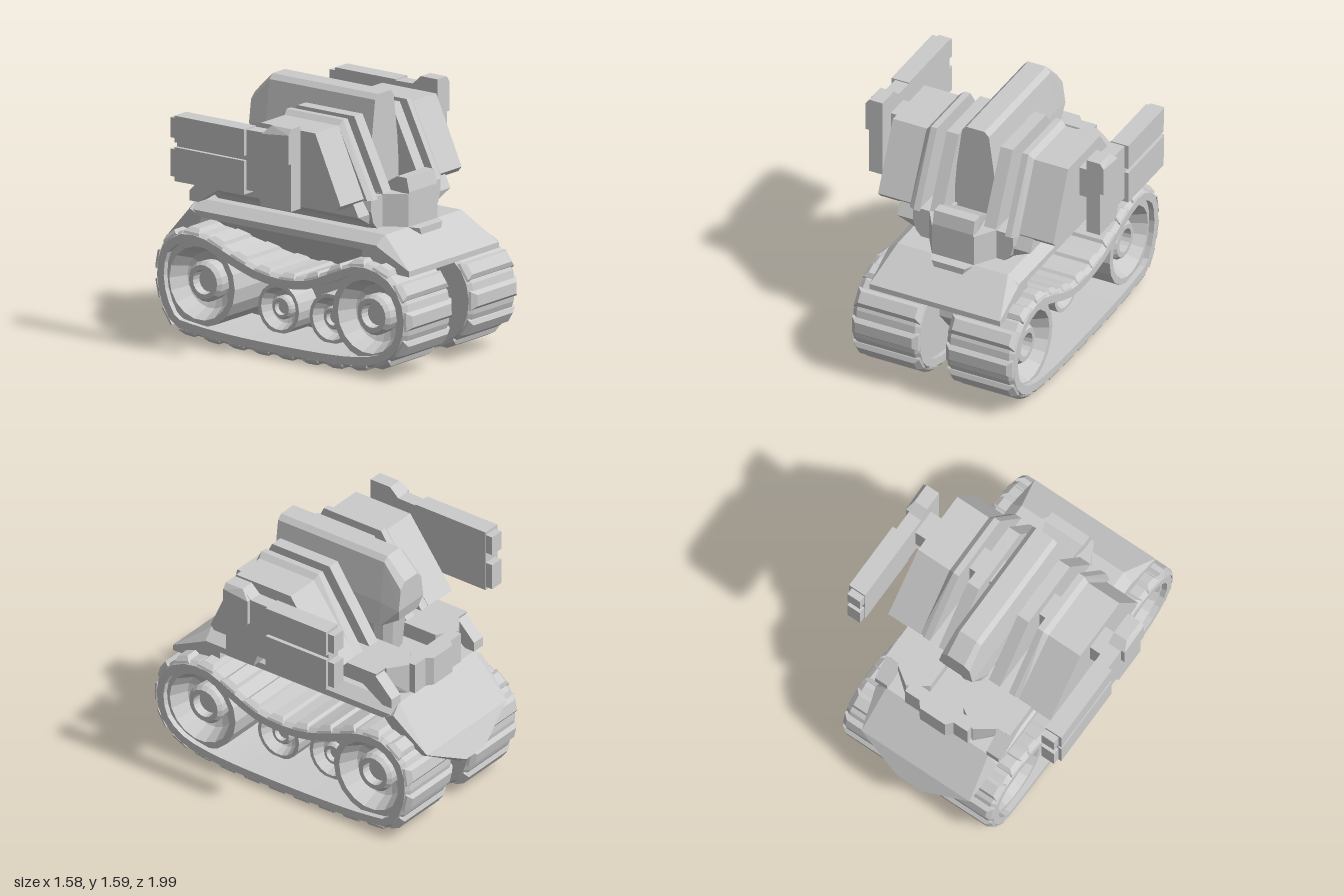
import * as THREE from 'three';
import { ConvexGeometry } from 'three/addons/geometries/ConvexGeometry.js';

const grey = new THREE.MeshStandardMaterial({ color: 0xcccccc, flatShading: true });

function add(parent, name, geometry) {
  const mesh = new THREE.Mesh(geometry, grey);
  mesh.name = name;
  parent.add(mesh);
  return mesh;
}

function box(parent, name, x0, x1, y0, y1, z0, z1) {
  const m = add(parent, name, new THREE.BoxGeometry(Math.abs(x1 - x0), y1 - y0, Math.abs(z1 - z0)));
  m.position.set((x0 + x1) / 2, (y0 + y1) / 2, (z0 + z1) / 2);
}

// Side profile of [z, y] points, extruded from x0 to x1
function slab(parent, name, profile, x0, x1) {
  const shape = new THREE.Shape(profile.map(([z, y]) => new THREE.Vector2(z, y)));
  const geo = new THREE.ExtrudeGeometry(shape, { depth: Math.abs(x1 - x0), bevelEnabled: false });
  geo.rotateY(-Math.PI / 2).translate(Math.max(x0, x1), 0, 0);
  add(parent, name, geo);
}

// Faceted solid around [x, y, z] points; sides lists the x signs to use
function solid(parent, name, points, sides) {
  const all = sides.flatMap(s => points.map(([x, y, z]) => new THREE.Vector3(s * x, y, z)));
  return add(parent, name, new ConvexGeometry(all));
}
const BOTH = [1, -1];

// Closed outer line of the track, as [z, y]
const trackPath = new THREE.CatmullRomCurve3([
  [-0.87, 0.56], [-0.72, 0.67], [-0.55, 0.67], [-0.35, 0.6], [-0.15, 0.535], [0.04, 0.515], [0.22, 0.535],
  [0.4, 0.61], [0.6, 0.685], [0.8, 0.655], [0.93, 0.54], [0.975, 0.38], [0.93, 0.2], [0.8, 0.09],
  [0.6, 0.04], [0, 0.018], [-0.6, 0.04], [-0.78, 0.075], [-0.87, 0.2], [-0.91, 0.38],
].map(([z, y]) => new THREE.Vector3(0, y, z)), true);

function makeTrack() {
  const track = new THREE.Group();
  const n = 48, half = 0.225, outer = [], inner = [], edge = [];
  for (let i = 0; i < n; i++) {
    const p = trackPath.getPointAt(i / n), t = trackPath.getTangentAt(i / n);
    const offset = d => new THREE.Vector2(p.z + t.y * d, p.y - t.z * d);
    outer.push(offset(0));
    edge.push(offset(0.02));
    inner.push(offset(0.07));
  }
  // Band: cross-section rings with chamfered shoulders
  const rings = [[inner, -half], [edge, -half], [outer, -half + 0.03], [outer, half - 0.03],
    [edge, half], [inner, half]];
  const pos = [], index = [];
  rings.forEach(([pts, x]) => pts.forEach(p => pos.push(x, p.y, p.x)));
  for (let r = 0; r < rings.length; r++) {
    const q = (r + 1) % rings.length;
    for (let i = 0; i < n; i++) {
      const j = (i + 1) % n, a = r * n + i, b = r * n + j, c = q * n + j, d = q * n + i;
      index.push(a, b, c, a, c, d);
    }
  }
  const band = new THREE.BufferGeometry();
  band.setAttribute('position', new THREE.Float32BufferAttribute(pos, 3));
  band.setIndex(index);
  band.computeVertexNormals();
  add(track, 'trackBand', band);

  // Broad, shallow tread bars around the band
  const bars = 25;
  for (let i = 0; i < bars; i++) {
    const u = (i + 0.5) / bars, t = trackPath.getTangentAt(u);
    const bar = solid(track, 'treadBar', [[half, -0.02, -0.06], [half, -0.02, 0.06],
      [half - 0.005, -0.005, -0.055], [half - 0.005, -0.005, 0.055],
      [half - 0.035, 0.018, -0.035], [half - 0.035, 0.018, 0.035]], BOTH);
    bar.position.copy(trackPath.getPointAt(u));
    bar.rotation.x = Math.atan2(-t.y, t.z);
  }
  return track;
}

// Dished wheel with a hollow hub
const wheelProfile = [[0, -0.2], [0.265, -0.2], [0.265, 0.19], [0.225, 0.19], [0.175, 0.08], [0.12, 0.05],
  [0.125, 0.13], [0.105, 0.155], [0.075, 0.155], [0.07, 0.1], [0, 0.1]].map(([r, h]) => new THREE.Vector2(r, h));

function addWheel(parent, name, side, z, y, scale, depth, inset) {
  const wheel = add(parent, name, new THREE.LatheGeometry(wheelProfile, 18));
  wheel.rotation.z = -side * Math.PI / 2;
  wheel.scale.set(scale, depth, scale);
  wheel.position.set(-side * inset, y, z);
}

function addHull(g) {
  slab(g, 'lowerHull', [[0.66, 0.39], [0.5, 0.2], [-0.5, 0.2], [-0.68, 0.4], [-0.64, 0.75], [0.6, 0.75]], -0.12, 0.12);
  solid(g, 'hullShoulder', [[0.12, 0.52, 0.5], [0.12, 0.52, -0.55], [0.36, 0.75, 0.57], [0.36, 0.75, -0.63]], BOTH);
  solid(g, 'upperHull', [[0.435, 0.745, 0.7], [0.435, 0.785, 0.68], [0.368, 0.84, 0.68],
    [0.435, 0.745, -0.64], [0.435, 0.785, -0.7], [0.368, 0.84, -0.71]], BOTH);
  solid(g, 'frontPlate', [[0.435, 0.665, 0.92], [0.435, 0.63, 0.92], [0.435, 0.64, 0.57], [0.435, 0.745, 0.57],
    [0.435, 0.785, 0.67], [0.368, 0.84, 0.69], [0.368, 0.84, 0.57]], BOTH);
  solid(g, 'rearPlate', [[0.368, 0.84, -0.71], [0.435, 0.785, -0.72], [0.42, 0.745, -0.64],
    [0.4, 0.62, -0.72], [0.39, 0.57, -0.935], [0.36, 0.53, -0.87], [0.09, 0.42, -1], [0.09, 0.39, -0.95]], BOTH);
}

function addTurret(g) {
  solid(g, 'turretDeck', [[0.16, 0.84, 0.55], [0.16, 0.94, 0.55], [0.16, 0.84, -0.65], [0.16, 0.94, -0.65]], BOTH);
  // Front hatch
  solid(g, 'hatchBase', [[0.225, 0.84, 0.56], [0.225, 1.04, 0.56], [0.14, 0.84, 0.69], [0.14, 1.04, 0.69],
    [0.225, 0.84, 0.45], [0.225, 1.04, 0.45]], BOTH);
  solid(g, 'hatchHood', [[0.135, 1.05, 0.69], [0.135, 1.135, 0.67], [0.135, 1.135, 0.6],
    [0.1, 1.03, 0.42], [0.135, 0.84, 0.69]], BOTH);
  solid(g, 'hatchLip', [[0.14, 0.84, 0.7], [0.14, 0.84, 0.6], [0.09, 0.78, 0.75], [0.09, 0.78, 0.6],
    [0.11, 0.835, 0.75]], BOTH);
  // Rear housing behind the open deck
  solid(g, 'rearHousing', [[0.225, 0.84, -0.6], [0.225, 1.035, -0.64], [0.225, 0.84, -0.72], [0.225, 1.035, -0.72]], BOTH);
  solid(g, 'rearHump', [[0.14, 0.84, -0.7], [0.14, 1.035, -0.7], [0.09, 0.85, -0.76], [0.09, 1.035, -0.76]], BOTH);

  // Central barrel with a rounded-off back, on its pivot
  solid(g, 'barrel', [0.4, -0.39].flatMap(z => [[0.06, 1.59, z], [0.09, 1.56, z], [0.125, 1.3, z], [0.137, 1.14, z]])
    .concat([[0.06, 1.46, -0.52], [0.1, 1.42, -0.52], [0.12, 1.28, -0.52], [0.09, 1.2, -0.5]]), BOTH);
  box(g, 'barrelMount', -0.135, 0.135, 0.92, 1.15, -0.25, 0.4);
  const pivot = add(g, 'barrelPivot', new THREE.CylinderGeometry(0.12, 0.1, 0.22, 12));
  pivot.position.set(0, 1.04, -0.33);
  box(g, 'axle', -0.7, 0.7, 1.18, 1.375, 0.03, 0.19);

  for (const s of BOTH) {
    solid(g, 'turretLobe', [[0.84, 0.3], [0.88, 0.335], [0.95, 0.355], [1.035, 0.355]].flatMap(([y, w]) =>
      [[0.12, y, 0.56], [w - 0.02, y, 0.56], [w, y, 0.5], [w, y, -0.61], [0.24, y, -0.69], [0.12, y, -0.61]]), [s]);
    // Side rail, its end bending down at the back
    solid(g, 'sideRail', [[0.34, 1.035, 0.5], [0.445, 1.035, 0.5], [0.34, 0.935, 0.55], [0.445, 0.935, 0.55],
      [0.3, 0.86, 0.53], [0.3, 0.86, -0.55], [0.34, 0.935, -0.55], [0.445, 0.935, -0.55],
      [0.34, 1.035, -0.6], [0.445, 1.035, -0.6]], [s]);
    slab(g, 'railTail', [[-0.5, 0.935], [-0.58, 1.035], [-0.715, 0.9], [-0.715, 0.84], [-0.65, 0.84]], s * 0.36, s * 0.445);
    // Layered armour: inner fin, chamfered collar, outer pod
    const fin = [[0.57, 1.02], [0.345, 1.478], [-0.08, 1.478], [-0.39, 1.02]];
    slab(g, 'innerFin', fin, s * 0.14, s * 0.22);
    solid(g, 'collar', fin.flatMap(([z, y]) => [[0.285, y, z], [0.325, y, z]])
      .concat([[0.36, 1.02, 0.55], [0.36, 1.445, 0.335], [0.36, 1.445, -0.07], [0.36, 1.02, -0.38]]), [s]);
    slab(g, 'sidePod', [[0.525, 1.03], [0.335, 1.448], [-0.07, 1.448], [-0.38, 1.03], [-0.34, 1.0], [0.5, 1.0]],
      s * 0.355, s * 0.585);
    addLauncher(g, s);
  }
}

function addLauncher(g, s) {
  // The two launchers differ slightly in length
  const end = s > 0 ? -0.49 : -0.56, front = s > 0 ? 0.275 : 0.295;
  slab(g, 'launcherPlate', [[front, 1.0], [front, 1.505], [0.15, 1.505], [0.09, 1.45], [end, 1.44], [end, 1.07],
    [0.04, 1.08], [0.07, 1.0]], s * 0.675, s * 0.765);
  solid(g, 'launcherHead', [[0.7, 1.29, front], [0.7, 1.505, front], [0.765, 1.505, front], [0.79, 1.47, front],
    [0.79, 1.29, front], [0.7, 1.29, 0.095], [0.7, 1.45, 0.095], [0.79, 1.29, 0.095], [0.79, 1.45, 0.095],
    [0.765, 1.505, 0.15], [0.7, 1.505, 0.15]], [s]);
  for (const [y0, y1] of [[1.055, 1.262], [1.292, 1.455]]) {
    box(g, 'launchTube', s * 0.675, s * 0.79, y0, y1, end, -0.04);
    box(g, 'tubeCap', s * 0.68, s * 0.77, y0 + 0.02, y1 - 0.02, end - 0.045, end);
  }
}

export function createModel() {
  const model = new THREE.Group();
  model.name = 'trackedVehicle';
  const body = new THREE.Group();
  body.name = 'body';
  model.add(body);
  addHull(body);
  addTurret(body);

  for (const s of BOTH) {
    const track = makeTrack();
    track.name = s > 0 ? 'leftTrack' : 'rightTrack';
    track.position.x = s * 0.314 + 0.008;
    for (const z of [0.66, -0.6]) addWheel(track, 'mainWheel', s, z, 0.36, 1, 1, 0);
    for (const z of [0.225, -0.16]) addWheel(track, 'roadWheel', s, z, 0.235, 0.58, 0.6, 0.12);
    model.add(track);
  }
  return model;
}
